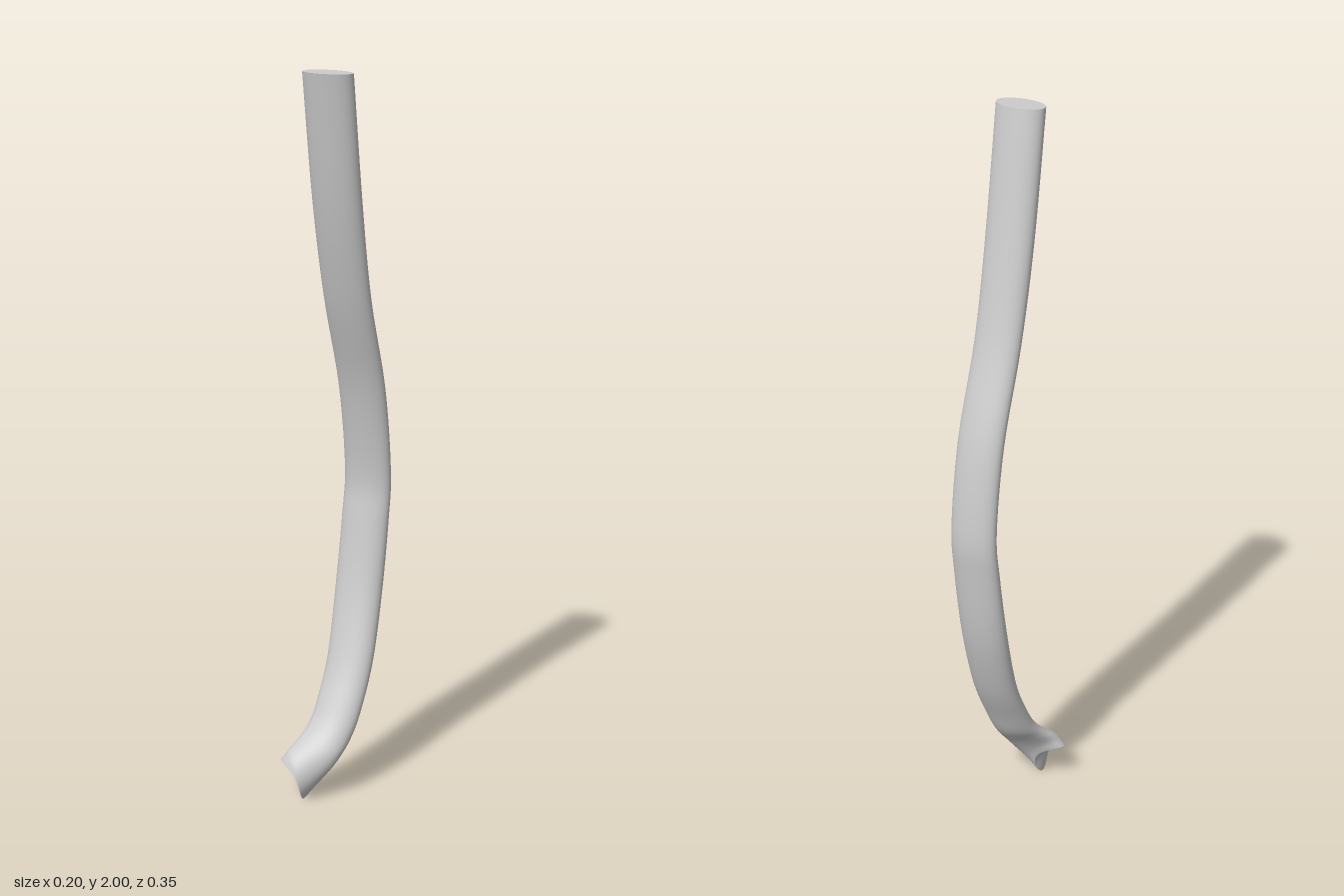
import * as THREE from 'three';

const SIDES = 32, RINGS = 72;

// Ring stations from top to bottom: centre x, y, z, half width, half depth, roll (degrees), rim recess
const stations = [
  [0.027, 2.0, 0.104, 0.072, 0.041, 0, 0],
  [0.021, 1.66, 0.043, 0.071, 0.042, 0, 0],
  [0.018, 1.39, -0.019, 0.069, 0.038, 0, 0],
  [0.019, 1.13, -0.1, 0.069, 0.037, 0, 0],
  [0.018, 0.89, -0.138, 0.069, 0.035, 0, 0],
  [0.015, 0.75, -0.13, 0.07, 0.037, 0, 0],
  [0.012, 0.55, -0.098, 0.07, 0.042, 0, 0],
  [0.016, 0.37, -0.043, 0.068, 0.043, 0, 0],
  [0.012, 0.25, 0.013, 0.066, 0.042, -7, 0],
  [0.004, 0.185, 0.05, 0.064, 0.045, -14, 0],
  [-0.012, 0.137, 0.09, 0.063, 0.045, -26, 0.006],
  [-0.042, 0.09, 0.125, 0.062, 0.044, -47, 0.018],
  [-0.066, 0.056, 0.138, 0.063, 0.042, -56, 0.035],
];

// Smooth interpolation of station columns i..i+2
const column = (i) => new THREE.CatmullRomCurve3(
  stations.map((s) => new THREE.Vector3(s[i], s[i + 1], s[i + 2] ?? 0)), false, 'catmullrom', 0.5);
const centres = column(0), sizes = column(3), recesses = column(6 - 1);

// One oval ring; its front and back points are pulled in along the tube to form the saddle rim
function ring(t) {
  const c = centres.getPoint(t), s = sizes.getPoint(t);
  const recess = recesses.getPoint(t).y;
  const roll = THREE.MathUtils.degToRad(s.z);
  const points = [];
  for (let i = 0; i < SIDES; i++) {
    const a = (i / SIDES) * Math.PI * 2;
    const u = Math.cos(a) * s.x, r = recess * Math.sin(a) ** 2;
    points.push(new THREE.Vector3(
      c.x + u * Math.cos(roll) - r * Math.sin(roll),
      c.y + u * Math.sin(roll) + r * Math.cos(roll),
      c.z + Math.sin(a) * s.y));
  }
  return points;
}

function makeMesh(name, points, index) {
  const geometry = new THREE.BufferGeometry().setFromPoints(points);
  geometry.setIndex(index);
  geometry.computeVertexNormals();
  const mesh = new THREE.Mesh(geometry, new THREE.MeshStandardMaterial({ color: 0xcccccc }));
  mesh.name = name;
  return mesh;
}

// Fan from a centre point to a rim
function makeCap(name, rim, centre, flip) {
  const index = [];
  for (let i = 0; i < SIDES; i++) {
    const k = (i + 1) % SIDES;
    index.push(SIDES, flip ? k : i, flip ? i : k);
  }
  return makeMesh(name, [...rim, centre], index);
}

export function createModel() {
  const group = new THREE.Group();
  group.name = 'curvedStem';

  // Long bent body
  const points = [], index = [];
  for (let j = 0; j <= RINGS; j++) {
    points.push(...ring(j / RINGS));
    if (j === RINGS) break;
    for (let i = 0; i < SIDES; i++) {
      const k = (i + 1) % SIDES, a = j * SIDES, b = a + SIDES;
      index.push(a + i, a + k, b + i, a + k, b + k, b + i);
    }
  }
  group.add(makeMesh('body', points, index));

  // Flat top and hollowed lower end
  group.add(makeCap('topCap', ring(0), centres.getPoint(0), true));
  const hollow = centres.getPoint(1).add(new THREE.Vector3(0.025, 0.017, 0));
  group.add(makeCap('lowerEnd', ring(1), hollow, false));
  return group;
}
